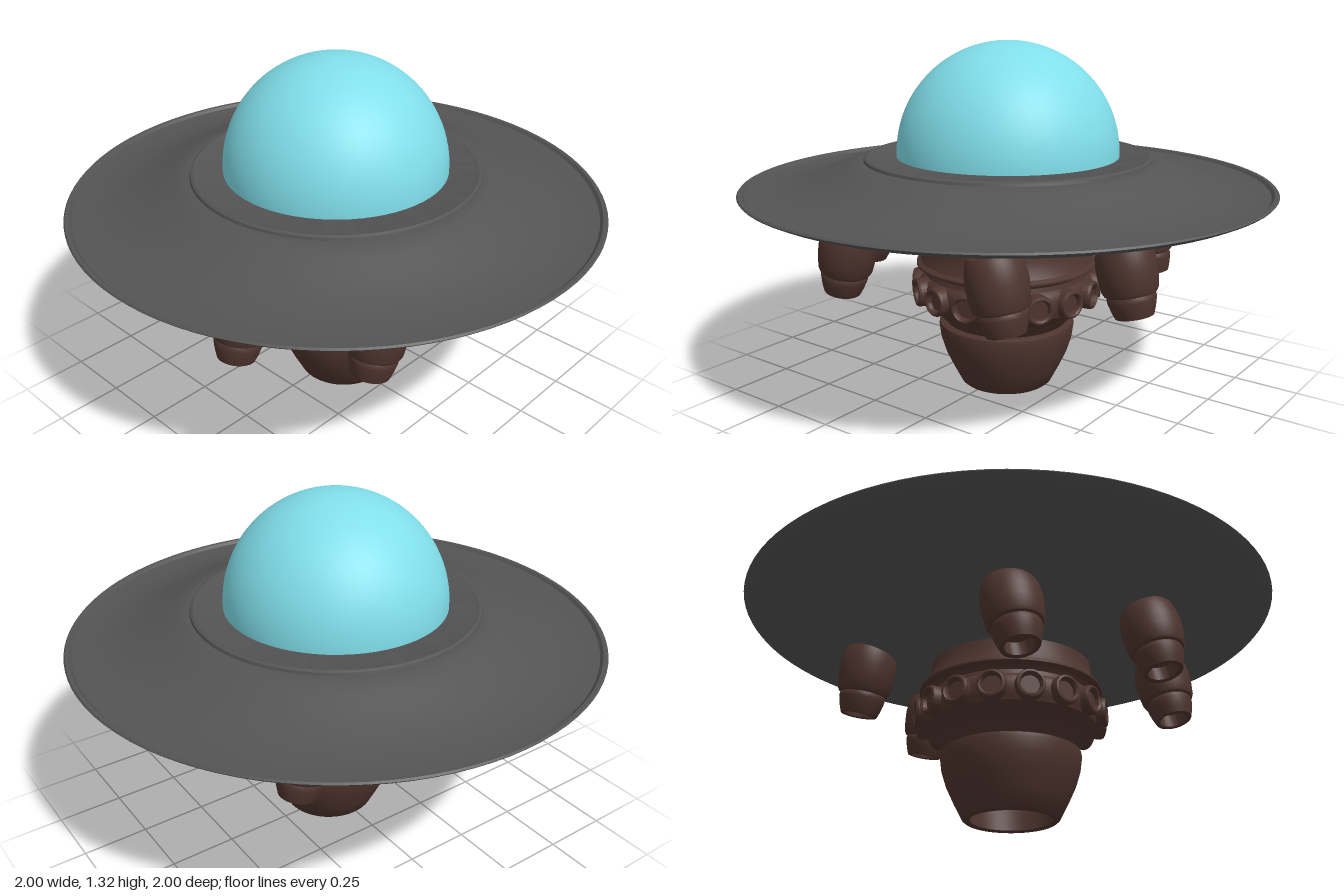
import * as THREE from 'three';
import { toCreasedNormals } from 'three/addons/utils/BufferGeometryUtils.js';

const hullMat = new THREE.MeshStandardMaterial({ color: 0x545454 });
const glassMat = new THREE.MeshStandardMaterial({ color: 0x80deea });
const engineMat = new THREE.MeshStandardMaterial({ color: 0x4e342e });

// Turned part: profile of [radius, height] from the bottom up round the outside
function turned(name, profile, segments, material) {
  const points = profile.map(([r, y]) => new THREE.Vector2(r, y));
  const geometry = toCreasedNormals(new THREE.LatheGeometry(points, segments), 0.5);
  const mesh = new THREE.Mesh(geometry, material);
  mesh.name = name;
  return mesh;
}

export function createModel() {
  const model = new THREE.Group();
  model.name = 'flyingSaucer';

  // Saucer hull with a thin raised rim and a stepped deck
  model.add(turned('hull', [
    [0, 0.585], [0.28, 0.588], [0.38, 0.605], [0.5, 0.635], [0.6, 0.664], [0.7, 0.692],
    [0.8, 0.719], [0.9, 0.745], [0.97, 0.765], [0.995, 0.777], [1, 0.783], [0.995, 0.789],
    [0.982, 0.788], [0.972, 0.777], [0.9, 0.775], [0.81, 0.789], [0.74, 0.81], [0.67, 0.838],
    [0.62, 0.86], [0.595, 0.87], [0.575, 0.876], [0.56, 0.88], [0.543, 0.88], [0.54, 0.89],
    [0.53, 0.895], [0.52, 0.891], [0, 0.891],
  ], 96, hullMat));

  // Glass dome
  const dome = new THREE.Mesh(
    new THREE.SphereGeometry(0.42, 64, 32, 0, Math.PI * 2, 0, Math.PI / 2 + 0.05), glassMat);
  dome.name = 'dome';
  dome.position.y = 0.897;
  model.add(dome);

  // Main engine, set slightly off the hull axis
  const engine = new THREE.Group();
  engine.name = 'mainEngine';
  engine.position.set(0.015, 0, 0.03);
  model.add(engine);

  engine.add(turned('nozzle', [
    [0, 0.14], [0.17, 0.14], [0.16, 0.07], [0.148, 0.005], [0.155, 0], [0.168, 0], [0.178, 0.008],
    [0.21, 0.07], [0.238, 0.13], [0.255, 0.185], [0.262, 0.235], [0.26, 0.248],
    [0.248, 0.254], [0.22, 0.255], [0, 0.255],
  ], 64, engineMat));

  engine.add(turned('engineBody', [
    [0, 0.24], [0.225, 0.24], [0.24, 0.262], [0.275, 0.3], [0.305, 0.33], [0.322, 0.342],
    [0.328, 0.36], [0.335, 0.375], [0.335, 0.415], [0.328, 0.432], [0.312, 0.445],
    [0.308, 0.462], [0.318, 0.476], [0.345, 0.483], [0.345, 0.49], [0.328, 0.5],
    [0.315, 0.525], [0.306, 0.56], [0.302, 0.61], [0, 0.61],
  ], 64, engineMat));

  // Ring of round ports about the engine body
  const portCount = 16;
  const port = turned('port', [
    [0.054, -0.03], [0.054, 0.018], [0.05, 0.026], [0.043, 0.028], [0.037, 0.022],
    [0.034, 0.008], [0, 0.008],
  ], 24, engineMat);
  port.geometry.rotateX(Math.PI / 2);
  for (let i = 0; i < portCount; i++) {
    const angle = (i + 0.5) * Math.PI * 2 / portCount;
    const copy = port.clone();
    copy.position.set(Math.sin(angle) * 0.334, 0.392, Math.cos(angle) * 0.334);
    copy.rotation.y = angle;
    engine.add(copy);
  }

  // Three thrusters on each side, flared outwards
  const thruster = turned('thruster', [
    [0, -0.08], [0.05, -0.08], [0.052, -0.128], [0.058, -0.132], [0.068, -0.13], [0.077, -0.105],
    [0.086, -0.07], [0.086, -0.06], [0.083, -0.052], [0.092, -0.048], [0.099, -0.035],
    [0.105, 0.01], [0.107, 0.05], [0.103, 0.085], [0.094, 0.12], [0.085, 0.135], [0, 0.14],
  ], 40, engineMat);
  const spots = [['front', 0.35, 0.52], ['side', 0.6, 0.12], ['rear', 0.4, -0.37]];
  for (const [place, x, z] of spots) {
    for (const side of [1, -1]) {
      const copy = thruster.clone();
      copy.name = place + 'Thruster';
      copy.position.set(side * x, 0.54, z);
      copy.rotation.z = side * 0.22;
      model.add(copy);
    }
  }

  return model;
}
